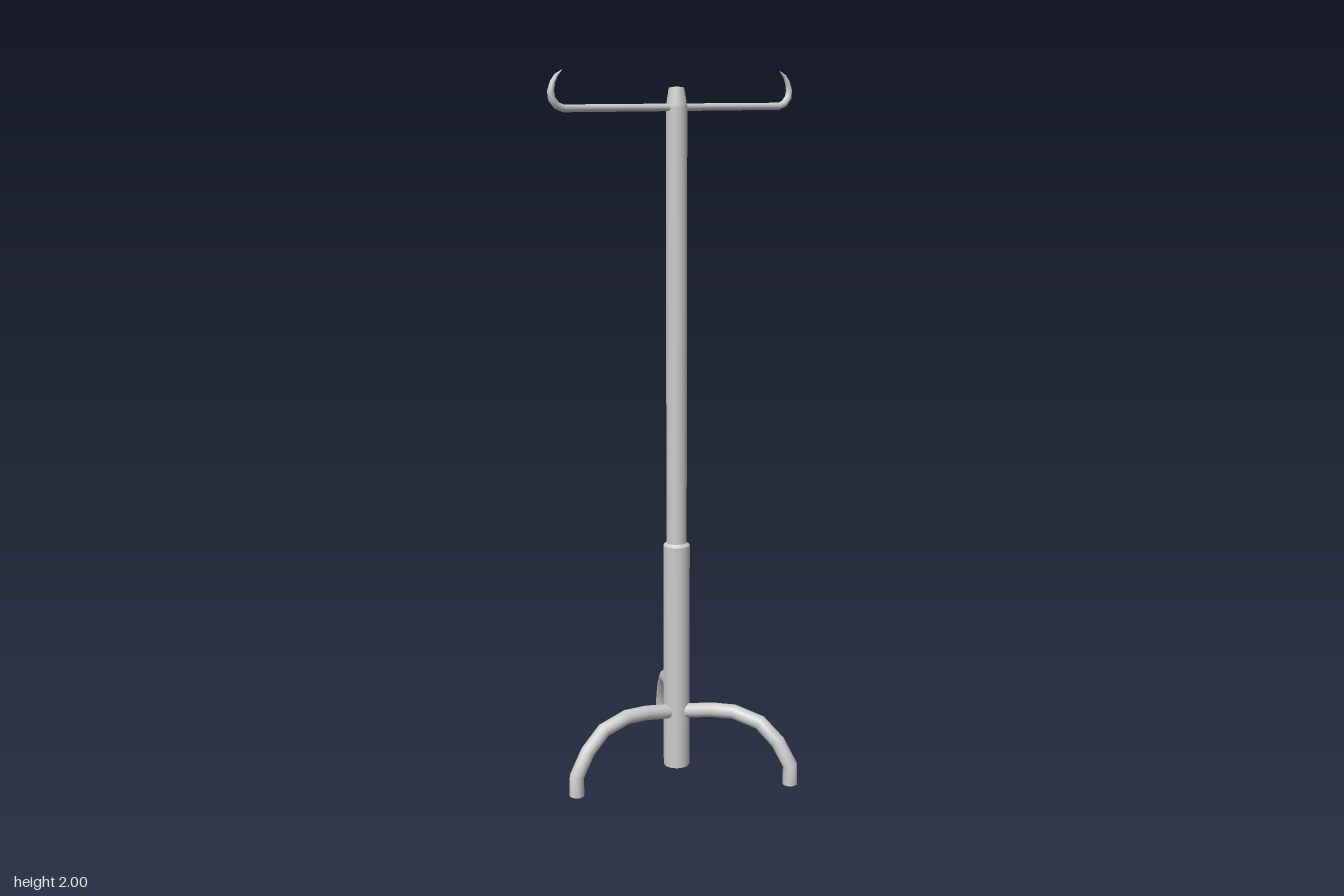
import * as THREE from 'three';

const material = new THREE.MeshStandardMaterial({ color: 0xcccccc });

// Round rod swept along points [z, y, radius] in the zy plane, with mitred bends and closed ends
function rod(points, sides) {
  const pos = [], idx = [];
  const pts = points.map(([z, y]) => new THREE.Vector2(z, y));
  const n = pts.length;
  const ring = (i) => {
    const a = pts[i].clone().sub(pts[Math.max(i - 1, 0)]).normalize();
    const b = pts[Math.min(i + 1, n - 1)].clone().sub(pts[i]).normalize();
    const t = a.add(b).normalize();
    for (let s = 0; s < sides; s++) {
      const ang = (s / sides) * Math.PI * 2, r = points[i][2];
      const u = Math.cos(ang) * r;
      pos.push(Math.sin(ang) * r, pts[i].y + t.x * u, pts[i].x - t.y * u);
    }
  };
  for (let i = 0; i < n; i++) ring(i);
  for (let i = 0; i < n - 1; i++) {
    for (let s = 0; s < sides; s++) {
      const a = i * sides + s, b = i * sides + (s + 1) % sides;
      idx.push(a, a + sides, b, b, a + sides, b + sides);
    }
  }
  // Separate rings keep the end caps crisp
  const start = pos.length / 3;
  ring(0);
  ring(n - 1);
  for (let s = 1; s < sides - 1; s++) {
    idx.push(start, start + s, start + s + 1);
    idx.push(start + sides, start + sides + s + 1, start + sides + s);
  }
  const g = new THREE.BufferGeometry();
  g.setAttribute('position', new THREE.Float32BufferAttribute(pos, 3));
  g.setIndex(idx);
  g.computeVertexNormals();
  return g;
}

// Turned part whose profile segments stay crisp where they meet
function turned(name, profile) {
  const group = new THREE.Group();
  group.name = name;
  for (let i = 0; i < profile.length - 1; i++) {
    const pair = [profile[i], profile[i + 1]].map(([r, y]) => new THREE.Vector2(r, y));
    const mesh = new THREE.Mesh(new THREE.LatheGeometry(pair, 20), material);
    mesh.name = name + 'Section' + (i + 1);
    group.add(mesh);
  }
  return group;
}

export function createModel() {
  const model = new THREE.Group();
  model.name = 'hookStand';

  // Lower sleeve and upper pole with a tapered cap
  model.add(turned('sleeve', [[0, 0], [0.038, 0], [0.038, 0.675], [0.029, 0.683]]));
  model.add(turned('pole', [[0.029, 0.66], [0.029, 1.905], [0.021, 1.955], [0, 1.958]]));

  // Three arched legs, one forward and two to the back
  const legPath = [[0.01, 0.17], [0.05, 0.175], [0.11, 0.187], [0.18, 0.192], [0.26, 0.172],
    [0.315, 0.122], [0.353, 0.058], [0.354, 0]].map(([z, y]) => [z, y, 0.021]);
  const legGeometry = rod(legPath, 14);
  ['frontLeg', 'leftLeg', 'rightLeg'].forEach((name, i) => {
    const leg = new THREE.Mesh(legGeometry, material);
    leg.name = name;
    leg.rotation.y = (i * Math.PI * 2) / 3;
    model.add(leg);
  });

  // Cross bar halves, each curling up into a pointed hook
  const hookGeometry = rod([[0, 1.903, 0.01], [0.362, 1.903, 0.01], [0.383, 1.91, 0.01],
    [0.398, 1.927, 0.01], [0.401, 1.947, 0.009], [0.394, 1.97, 0.007],
    [0.383, 1.986, 0.005], [0.366, 1.999, 0.001]], 12);
  ['frontHook', 'backHook'].forEach((name, i) => {
    const hook = new THREE.Mesh(hookGeometry, material);
    hook.name = name;
    hook.rotation.y = i * Math.PI;
    model.add(hook);
  });

  return model;
}
